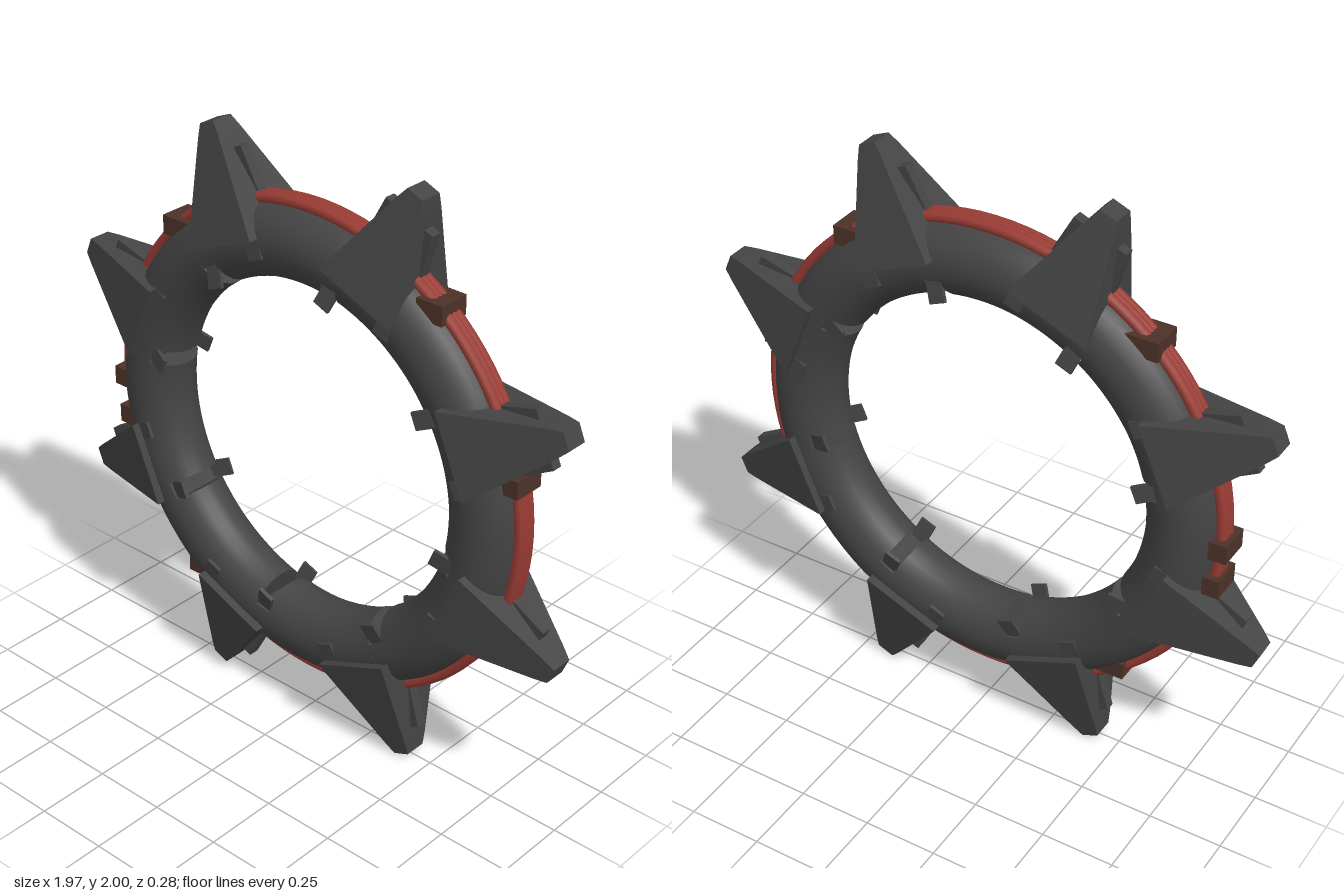
import * as THREE from 'three';

const material = (name, color) => Object.assign(new THREE.MeshStandardMaterial({ color }), { name });
const RING = 0.69, TUBE = 0.122, FLATTEN = 0.92, STEP = Math.PI / 4, COUNT = 8;
const rad = THREE.MathUtils.degToRad;

// Box column whose half width and half depth follow levels of [y, halfX, halfZ]
function taperedBox(levels) {
  const n = levels.length - 1;
  const geometry = new THREE.BoxGeometry(2, n, 2, 1, n, 1).toNonIndexed();
  const p = geometry.attributes.position;
  for (let i = 0; i < p.count; i++) {
    const [y, w, d] = levels[Math.round(p.getY(i) + n / 2)];
    p.setXYZ(i, p.getX(i) * w, y, p.getZ(i) * d);
  }
  geometry.computeVertexNormals();
  return geometry;
}

export function createModel() {
  const model = new THREE.Group();
  model.name = 'spikedRing';
  const ring = new THREE.Group();
  ring.name = 'ring';
  ring.position.y = 1;
  model.add(ring);

  const iron = material('dark iron', 0x444444);
  const red = material('cable red', 0x9a3c34);
  const brown = material('clip brown', 0x4c3228);

  const add = (parent, name, geometry, mat, x = 0, y = 0, z = 0) => {
    const mesh = new THREE.Mesh(geometry, mat);
    mesh.name = name;
    mesh.position.set(x, y, z);
    parent.add(mesh);
    return mesh;
  };
  // Group whose local y points outward at the given angle
  const radialGroup = (name, angle) => {
    const group = new THREE.Group();
    group.name = name;
    group.rotation.z = angle - Math.PI / 2;
    ring.add(group);
    return group;
  };

  // Outer wall of the tube, unbroken, and the flat floor behind its inner notches
  const wall = [];
  for (let i = 0; i <= 20; i++) {
    const a = rad(-110 + 11 * i);
    wall.push(new THREE.Vector2(RING + 0.121 * Math.cos(a), 0.121 * FLATTEN * Math.sin(a)));
  }
  add(ring, 'tubeWall', new THREE.LatheGeometry(wall, 96), iron).rotation.x = Math.PI / 2;
  add(ring, 'notchFloor', new THREE.LatheGeometry([wall[20], wall[0]], 96), iron).rotation.x = Math.PI / 2;

  // Full tube sections, parted by a narrow notch beside each spike
  const half = rad(19.9), shift = rad(9.9);
  const tubeGeometry = new THREE.TorusGeometry(RING, TUBE, 24, 16, half * 2);
  const capGeometry = new THREE.CircleGeometry(TUBE, 24);
  for (let i = 0; i < COUNT; i++) {
    const middle = i * STEP + shift;
    const tube = add(ring, 'tubeSection', tubeGeometry, iron);
    tube.rotation.z = middle - half;
    tube.scale.z = FLATTEN;
    for (const side of [-1, 1]) {
      const cap = add(radialGroup('tubeEnd', middle + side * half), 'tubeCap', capGeometry, iron, 0, RING);
      cap.rotation.y = -side * Math.PI / 2;
      cap.scale.x = FLATTEN;
    }
  }

  // Three cables running round the outside
  const cableGeometry = new THREE.TorusGeometry(0.821, 0.018, 8, 96);
  for (const z of [-0.019, 0, 0.019]) add(ring, 'cable', cableGeometry, red, 0, 0, z);

  // Upright cable clips: x, y, width, height
  const clips = [
    [0.8, 0.19, 0.06, 0.06], [0.485, 0.65, 0.095, 0.065], [-0.54, 0.6, 0.11, 0.065],
    [-0.82, -0.03, 0.07, 0.065], [-0.81, -0.17, 0.056, 0.065], [-0.48, -0.64, 0.095, 0.06],
  ];
  for (const [x, y, w, h] of clips) {
    add(ring, 'cableClip', new THREE.BoxGeometry(w, h, 0.112), brown, x, y);
  }

  // Spikes: tapered body, side fins and small plates beside the notch
  const bodyGeometry = taperedBox([[0.705, 0.143, 0.14], [1.025, 0.046, 0.05], [1.068, 0.03, 0.038]]);
  const finShape = new THREE.Shape([
    [-0.118, 0.77], [0.118, 0.77], [0.094, 0.975], [-0.094, 0.975],
  ].map(([x, y]) => new THREE.Vector2(x, y)));
  const finGeometry = new THREE.ExtrudeGeometry(finShape, { depth: 0.036, bevelEnabled: false });
  finGeometry.translate(0, 0, -0.018);
  const notchPlate = new THREE.BoxGeometry(0.058, 0.09, 0.012);
  const sidePlate = new THREE.BoxGeometry(0.058, 0.06, 0.012);
  for (let i = 0; i < COUNT; i++) {
    const spike = radialGroup('spike', (i + 0.5) * STEP);
    // The spikes nearest the horizontal sit slightly deeper
    const sink = i % 4 === 0 || i % 4 === 3 ? -0.015 : 0;
    add(spike, 'spikeBody', bodyGeometry, iron, 0, sink);
    add(spike, 'spikeFin', finGeometry, iron, 0, sink);
    for (const face of [-1, 1]) {
      add(spike, 'notchPlate', notchPlate, iron, -0.106, 0.61, face * 0.096).rotation.x = -face * 0.28;
      add(spike, 'sidePlate', sidePlate, iron, 0.115, 0.672, face * 0.108).rotation.x = -face * 0.12;
    }
  }
  return model;
}
